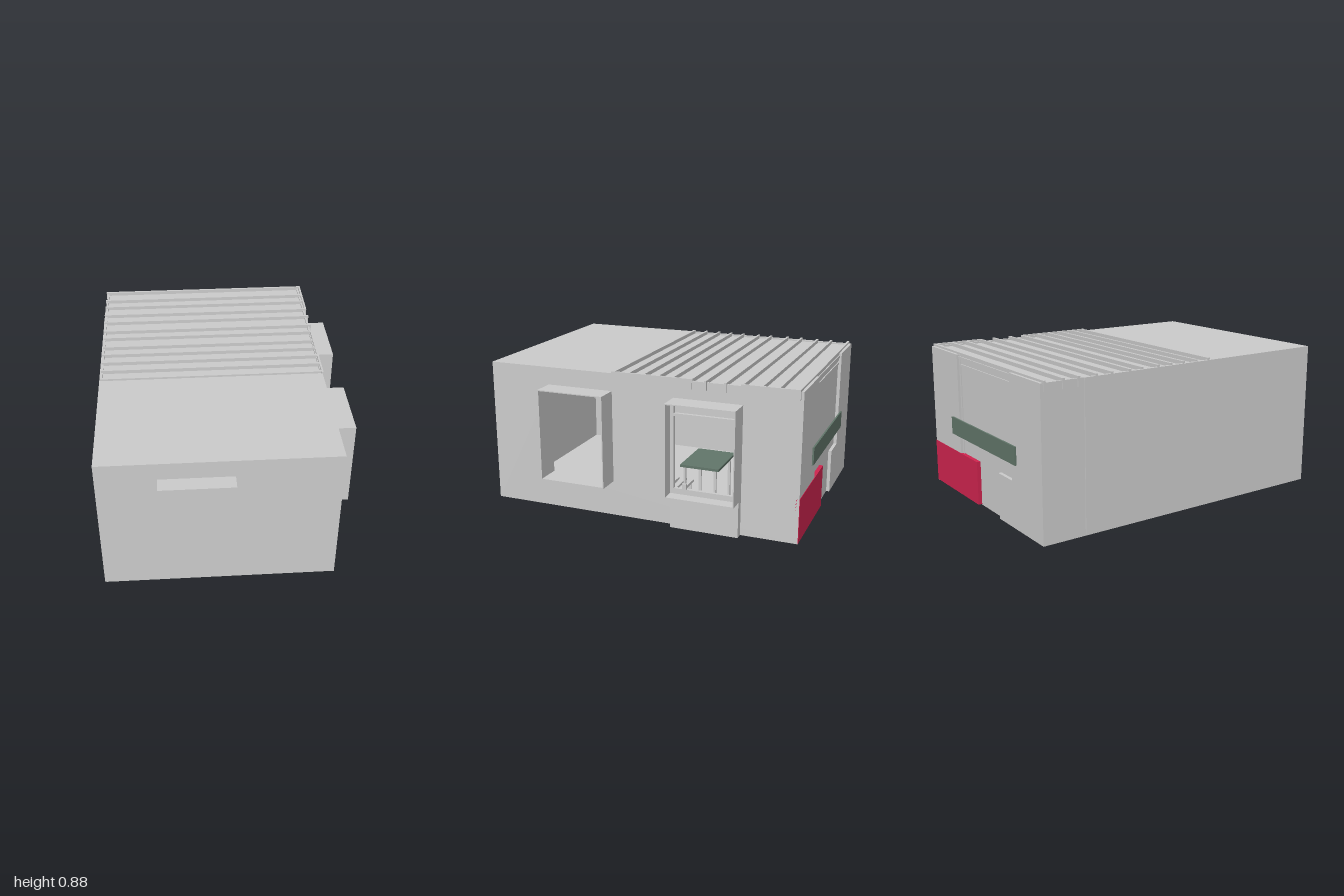
import * as THREE from 'three';

export function createModel() {
  const root = new THREE.Group();
  const material = (name, color) => {
    const m = new THREE.MeshStandardMaterial({ color, side: THREE.DoubleSide });
    m.name = name;
    return m;
  };
  const plaster = material('plaster grey', 0xcccccc);
  const red = material('counter red', 0xd0244f);
  const green = material('board green', 0x62766a);

  // Box given by its extents on each axis
  const block = (name, x0, x1, y0, y1, z0, z1, mat = plaster, parent = root) => {
    const mesh = new THREE.Mesh(new THREE.BoxGeometry(x1 - x0, y1 - y0, z1 - z0), mat);
    mesh.position.set((x0 + x1) / 2, (y0 + y1) / 2, (z0 + z1) / 2);
    mesh.name = name;
    parent.add(mesh);
    return mesh;
  };
  const group = (name) => {
    const g = new THREE.Group();
    g.name = name;
    root.add(g);
    return g;
  };

  // Upright plate across x, drawn in (z, y), with rectangular holes
  const rect = (path, z0, z1, y0, y1) => {
    path.moveTo(z0, y0);
    path.lineTo(z1, y0);
    path.lineTo(z1, y1);
    path.lineTo(z0, y1);
    path.closePath();
    return path;
  };
  const sidePlate = (name, x0, x1, outer, holes, parent = root) => {
    const shape = rect(new THREE.Shape(), ...outer);
    for (const h of holes) shape.holes.push(rect(new THREE.Path(), ...h));
    const geo = new THREE.ExtrudeGeometry(shape, { depth: x1 - x0, bevelEnabled: false });
    // Shape x becomes z, extrusion runs towards -x from x1
    geo.rotateY(-Math.PI / 2);
    geo.translate(x1, 0, 0);
    const mesh = new THREE.Mesh(geo, plaster);
    mesh.name = name;
    parent.add(mesh);
    return mesh;
  };

  const L = -0.73, R = 0.6, TOP = 0.865, FRONT = 0.91, BACK = -0.99, T = 0.012;
  const bayY = [0.212, 0.76];
  const bays = [[0.122, 0.53], [-0.66, -0.255]];

  // Shell
  block('floor', L, R, 0, 0.01, BACK + 0.02, FRONT);
  block('frontWall', L, R, 0, TOP, FRONT - T, FRONT);
  block('rightHandWall', L - 0.006, L + T, 0.004, TOP, -0.73, FRONT);
  block('rightHandWallEnd', L, L + T, 0, TOP, BACK, -0.73);
  sidePlate('windowWall', R - T, R, [BACK, FRONT, 0, TOP],
    bays.map(([z0, z1]) => [z0 + 0.004, z1 - 0.004, bayY[0] + 0.004, bayY[1] - 0.004]));
  block('flatRoof', L, R, TOP - 0.02, TOP, 0.11, FRONT);

  // Closed bay at the front
  block('frontBay', -0.402, 0.016, ...bayY, FRONT, 1);

  // Open bays on the window wall
  bays.forEach(([z0, z1], i) => {
    const b = group('windowBay' + (i + 1));
    sidePlate('baySurround', R - T, 0.735, [z0, z1, ...bayY],
      [[z0 + 0.006, z1 - 0.006, bayY[0] + 0.006, bayY[1] - 0.006]], b);
  });

  // Window frame, transom and handle in the rear bay, with its plinth
  const frame = group('windowFrame');
  sidePlate('sash', 0.64, 0.66, [-0.655, -0.26, 0.217, 0.755], [[-0.632, -0.282, 0.25, 0.742]], frame);
  block('transom', 0.64, 0.66, 0.675, 0.69, -0.632, -0.282, plaster, frame);
  block('handle', 0.655, 0.67, 0.25, 0.285, -0.36, -0.335, plaster, frame);
  block('bayPlinth', R, 0.645, 0, 0.212, -0.66, -0.255);

  // Ribbed roof: recessed deck with thin raised beams
  const ribbed = group('ribbedRoof');
  block('deck', L, R, 0.838, 0.855, -0.98, 0.11, plaster, ribbed);
  const beams = [-0.967, -0.855, -0.763, -0.655, -0.56, -0.445, -0.36, -0.25, -0.163, -0.073, 0.018, 0.108];
  for (const z of beams) {
    const out = z < -0.4 ? 0.012 : 0;
    block('beam', L - out / 2, R + out, 0.82, 0.877, z - 0.007, z + 0.007, plaster, ribbed);
  }
  block('rearFascia', R, R + 0.012, 0.82, 0.877, -0.97, -0.648, plaster, ribbed);
  block('frontFascia', R - 0.006, R + 0.005, 0.82, 0.877, -0.363, 0.12, plaster, ribbed);

  // Rear wall: recessed centre, side panels, lintel rail
  const rear = group('rearWall');
  block('recessedPanel', L, R - T, 0, 0.855, -0.97, -0.962, plaster, rear);
  block('panelLeft', 0.24, R, 0.265, TOP, BACK, -0.97, plaster, rear);
  block('panelRight', L, -0.402, 0, TOP, BACK, -0.97, plaster, rear);
  block('lowPanel', -0.402, -0.243, 0, 0.27, BACK, -0.97, plaster, rear);
  block('lintelRail', -0.402, 0.24, 0.795, 0.81, -0.976, -0.97, plaster, rear);
  block('jambStrip', 0.225, 0.24, 0.265, TOP, -0.976, -0.97, plaster, rear);

  // Red counter: visible rear face and body inside the room
  block('counterFace', 0.02, R, 0.004, 0.265, BACK - 0.003, -0.97, red);
  block('counterBody', 0.02, R - T, 0.01, 0.265, -0.962, -0.75, red);

  // Sign board across the back
  block('signBoard', -0.46, 0.33, 0.37, 0.475, -1, BACK, green);

  // Table and slatted bench inside
  const table = group('table');
  block('tableTop', 0.08, 0.4, 0.28, 0.295, -0.46, -0.22, green, table);
  for (const x of [0.1, 0.37])
    for (const z of [-0.44, -0.25]) block('tableLeg', x, x + 0.015, 0.01, 0.28, z, z + 0.015, plaster, table);
  const bench = group('slattedBench');
  for (let i = 0; i < 5; i++)
    block('slat', 0.1, 0.42, 0.08, 0.095, -0.2 + i * 0.05, -0.17 + i * 0.05, plaster, bench);
  for (const x of [0.12, 0.38]) block('benchSupport', x, x + 0.015, 0.01, 0.08, -0.19, 0.02, plaster, bench);

  return root;
}
